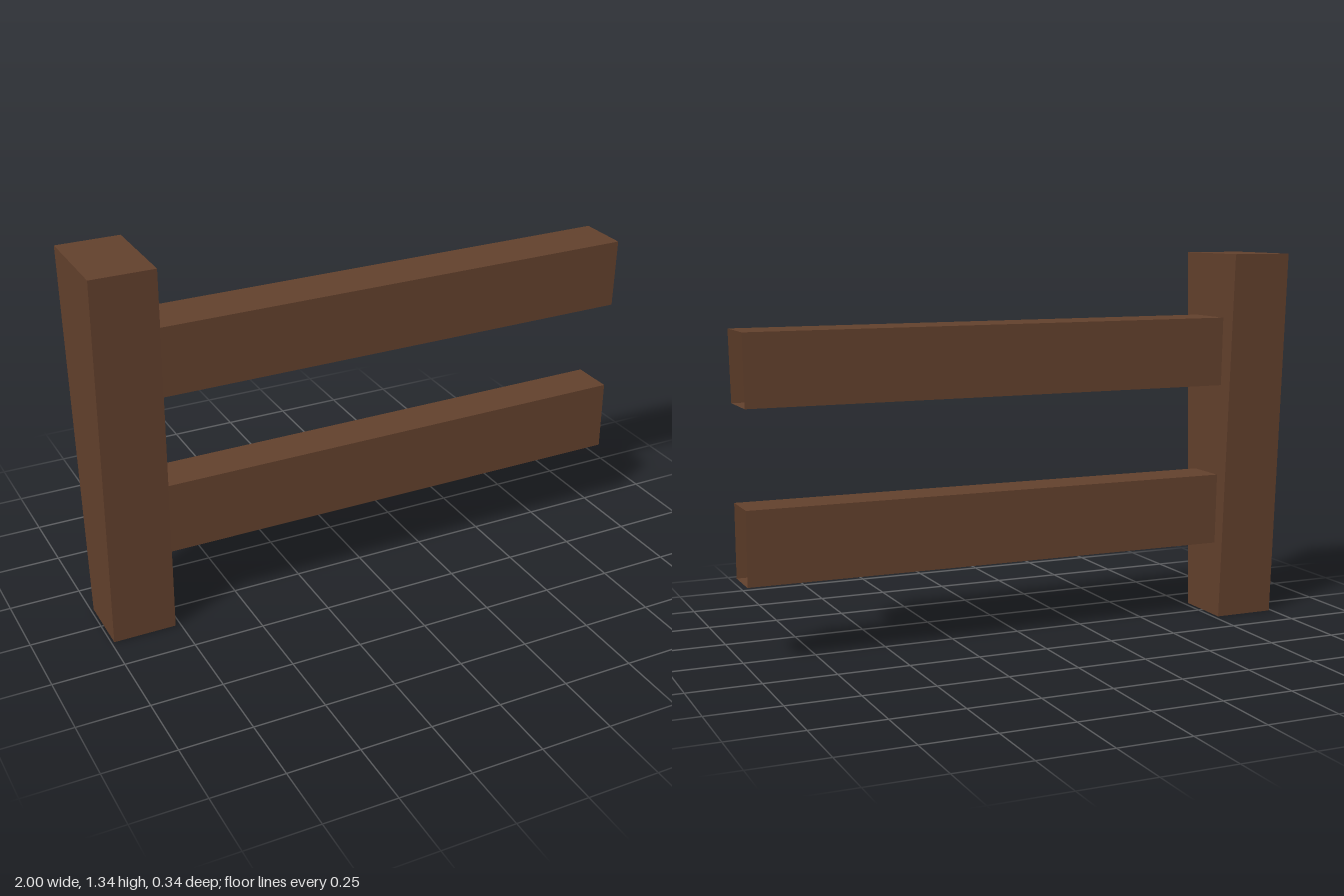
import * as THREE from 'three';

const wood = new THREE.MeshStandardMaterial({ color: 0x62402c, side: THREE.DoubleSide });
wood.name = 'brownWood';

// Box tapered between two levels, each given as { y, x0, x1, z } with z the half depth.
function taperedBox(name, low, high, openEnds = false) {
  const geometry = new THREE.BoxGeometry(1, 1, 1);
  const p = geometry.attributes.position;
  for (let i = 0; i < p.count; i++) {
    const level = p.getY(i) > 0 ? high : low;
    const x = p.getX(i) > 0 ? level.x1 : level.x0;
    p.setXYZ(i, x, level.y, Math.sign(p.getZ(i)) * level.z);
  }
  if (openEnds) {
    // The first two faces of a box are its +x and -x ends.
    geometry.setIndex(Array.from(geometry.index.array).slice(12));
    geometry.clearGroups();
  }
  geometry.computeVertexNormals();
  const mesh = new THREE.Mesh(geometry, wood);
  mesh.name = name;
  return mesh;
}

export function createModel() {
  const fence = new THREE.Group();
  fence.name = 'fenceSection';

  // Post, wider at the top
  fence.add(taperedBox('post',
    { y: 0, x0: -0.99, x1: -0.768, z: 0.112 },
    { y: 1.34, x0: -1, x1: -0.778, z: 0.17 }));

  // Hollow rails, open at the ends so that sections can join
  fence.add(taperedBox('upperRail',
    { y: 0.863, x0: -0.776, x1: 0.995, z: 0.09 },
    { y: 1.11, x0: -0.778, x1: 1, z: 0.095 }, true));
  fence.add(taperedBox('lowerRail',
    { y: 0.273, x0: -0.771, x1: 0.997, z: 0.073 },
    { y: 0.53, x0: -0.773, x1: 0.997, z: 0.079 }, true));

  return fence;
}
